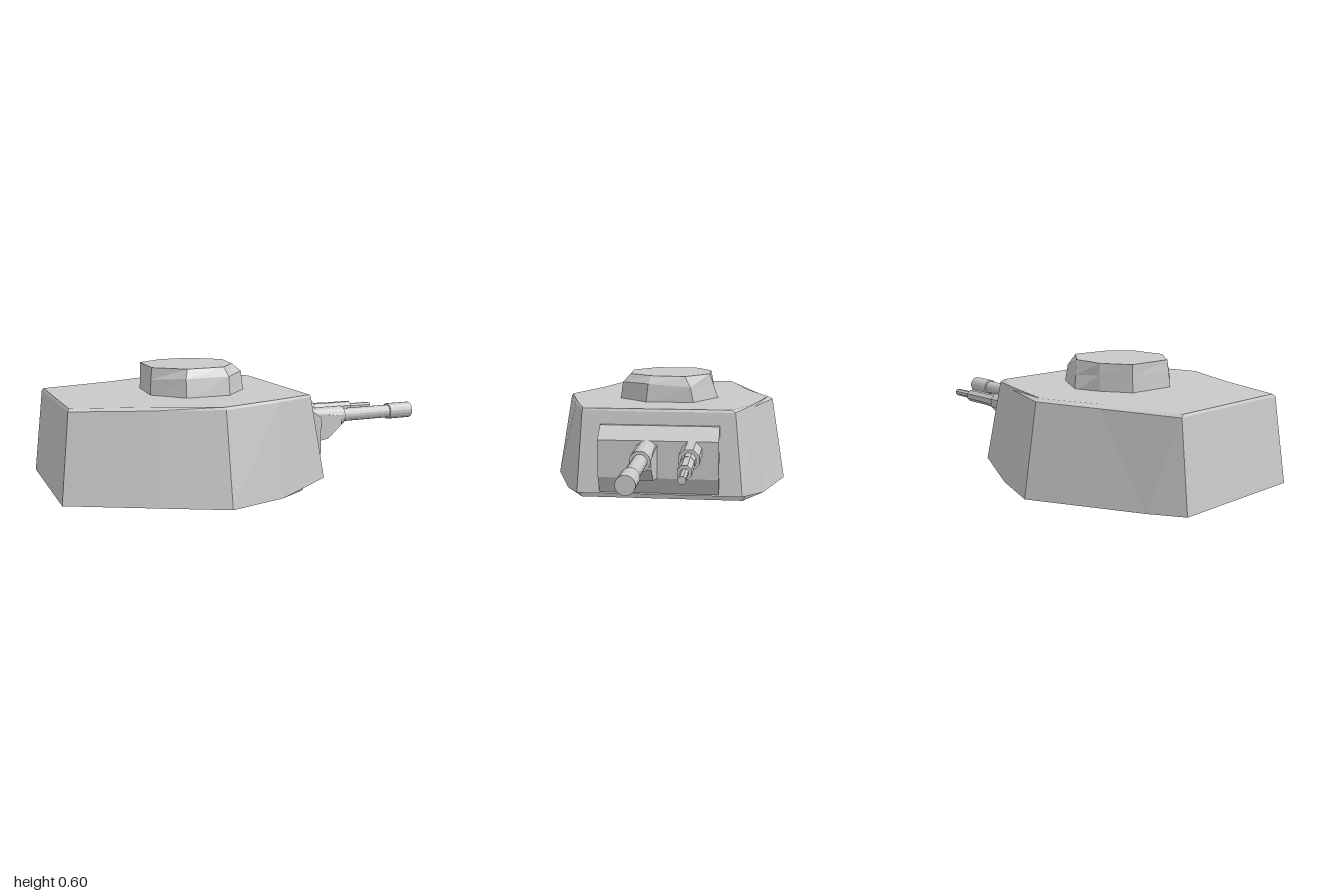
import * as THREE from 'three';

// Skins a list of rings ([x, y, z] points, counter-clockwise seen from the last ring) and caps both ends.
function loft(rings) {
  const pos = [];
  const tri = (a, b, c) => {
    const [p, q, r] = [a, b, c].map((v) => new THREE.Vector3(...v));
    if (q.sub(p).cross(r.sub(p)).length() > 1e-7) pos.push(...a, ...b, ...c);
  };
  const centre = (ring) => [0, 1, 2].map((k) => ring.reduce((s, p) => s + p[k], 0) / ring.length);
  const n = rings[0].length;
  const last = rings[rings.length - 1];
  const c0 = centre(rings[0]);
  const c1 = centre(last);
  for (let i = 0; i < n; i++) {
    const j = (i + 1) % n;
    for (let k = 0; k < rings.length - 1; k++) {
      const lo = rings[k];
      const hi = rings[k + 1];
      tri(lo[i], lo[j], hi[j]);
      tri(lo[i], hi[j], hi[i]);
    }
    tri(c0, rings[0][j], rings[0][i]);
    tri(c1, last[i], last[j]);
  }
  const g = new THREE.BufferGeometry();
  g.setAttribute('position', new THREE.Float32BufferAttribute(pos, 3));
  g.computeVertexNormals();
  return g;
}

export function createModel() {
  const model = new THREE.Group();
  model.name = 'turret';
  const steel = new THREE.MeshStandardMaterial({ color: 0xc8c8c8 });
  steel.name = 'steel grey';
  steel.flatShading = true;

  const add = (name, geometry, parent = model) => {
    const mesh = new THREE.Mesh(geometry, steel);
    mesh.name = name;
    parent.add(mesh);
    return mesh;
  };

  // Hull: six sloped walls, stepped nose underside and a chipped top edge
  const foot = [[0.275, 0.41], [0.275, -0.41], [0, -0.515], [-0.3, -0.632], [-0.84, -0.42],
    [-1, -0.34], [-1, 0.36], [-0.6, 0.515], [-0.3, 0.63], [0, 0.518]];
  const rim = [[0.205, 0.39], [0.205, -0.37], [0, -0.46], [-0.3, -0.56], [-0.6, -0.455],
    [-0.952, -0.335], [-0.952, 0.325], [-0.6, 0.45], [-0.3, 0.552], [0, 0.465]];
  const plate = [[0.2, 0.385], [0.195, -0.35], [0.02, -0.45], [-0.3, -0.535], [-0.58, -0.42],
    [-0.945, -0.32], [-0.945, 0.31], [-0.6, 0.42], [-0.3, 0.545], [0, 0.455]];
  const floorY = (x) => 0.007 - 0.037 * x;
  const isNose = (i) => i < 2;
  const lower = (noseX, noseY, spread) => foot.map(([x, z], i) => (
    isNose(i) ? [noseX, noseY, z * spread] : [x, floorY(x), z]));
  add('hull', loft([
    lower(0.155, 0, 1),
    lower(0.165, 0.043, 1.05),
    lower(0.275, 0.052, 1),
    rim.map(([x, z]) => [x, 0.455, z]),
    plate.map(([x, z]) => [x, 0.467, z]),
  ]));

  // Cupola: irregular faceted drum with a broken front corner
  const drumFoot = [[-0.025, 0.1], [-0.035, -0.15], [-0.235, -0.268], [-0.36, -0.225],
    [-0.495, -0.14], [-0.512, 0.1], [-0.38, 0.255], [-0.16, 0.255]];
  const drumMid = [[-0.035, 0.09, 0.56], [-0.035, -0.13, 0.545], [-0.22, -0.245, 0.53], [-0.36, -0.225, 0.54],
    [-0.49, -0.14, 0.54], [-0.505, 0.095, 0.54], [-0.375, 0.235, 0.555], [-0.16, 0.24, 0.555]];
  const drumTop = [[-0.08, 0.08], [-0.06, -0.1], [-0.2, -0.222], [-0.36, -0.222],
    [-0.49, -0.14], [-0.498, 0.09], [-0.36, 0.21], [-0.17, 0.2]];
  add('cupola', loft([
    drumFoot.map(([x, z]) => [x, 0.455, z]),
    drumMid.map(([x, z, y]) => [x, y, z]),
    drumTop.map(([x, z]) => [x, 0.598, z]),
  ]));

  // Mantlet: wedge-shaped shield on the front wall
  const shield = (x0, y0, x1, y1, w) => [[x0, y0, -w], [x1, y1, -w], [x1, y1, w], [x0, y0, w]];
  add('mantlet', loft([
    shield(0.22, 0.06, 0.18, 0.39, 0.295),
    shield(0.275, 0.06, 0.235, 0.39, 0.295),
    shield(0.318, 0.145, 0.318, 0.33, 0.295),
  ]));

  // Guns: stepped barrels, each step is [start x, end x, radius]
  const gun = (name, y, z, sides, steps) => {
    const group = new THREE.Group();
    group.name = name;
    group.position.set(0, y, z);
    steps.forEach(([x0, x1, r], i) => {
      const g = new THREE.CylinderGeometry(r, r, x1 - x0, sides);
      g.rotateY(Math.PI / sides);
      g.rotateZ(-Math.PI / 2);
      g.translate((x0 + x1) / 2, 0, 0);
      add(`${name}Section${i + 1}`, g, group);
    });
    model.add(group);
  };
  gun('mainGun', 0.283, 0.053, 16, [[0.28, 0.57, 0.05], [0.56, 0.865, 0.035], [0.86, 1, 0.043]]);
  gun('coaxialGun', 0.28, -0.165, 8,
    [[0.28, 0.5, 0.053], [0.49, 0.575, 0.036], [0.57, 0.745, 0.034], [0.74, 0.88, 0.019]]);

  // Tapered cradle beneath the main gun
  const cradle = (x, yLow, yHigh) => [[x, yLow, 0.003], [x, yHigh, 0.003], [x, yHigh, 0.104], [x, yLow, 0.104]];
  add('gunCradle', loft([
    cradle(0.28, 0.14, 0.31),
    cradle(0.32, 0.147, 0.31),
    cradle(0.465, 0.17, 0.3),
    cradle(0.545, 0.238, 0.285),
  ]));

  return model;
}
